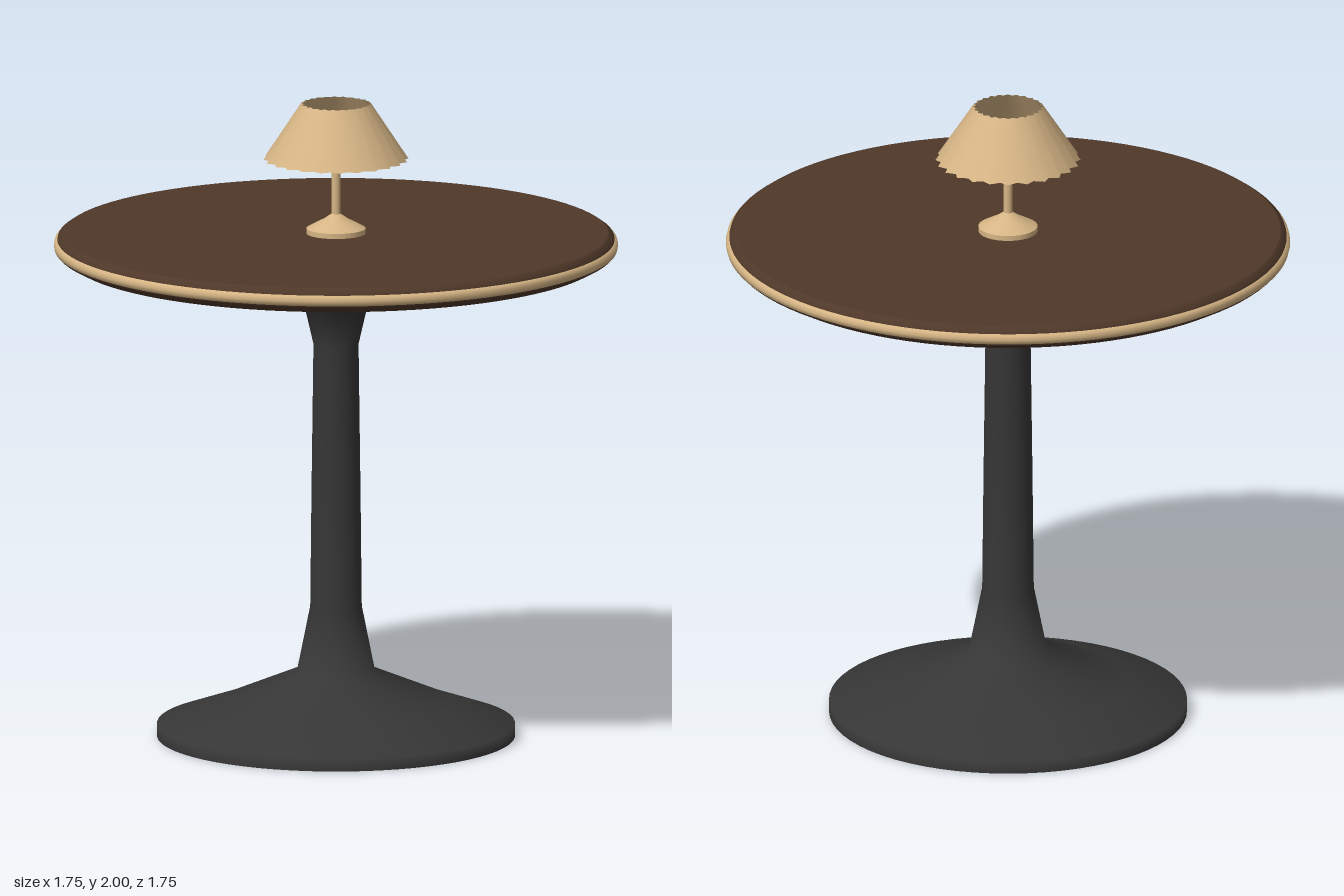
import * as THREE from 'three';

const mat = (name, color, extra = {}) => {
  const m = new THREE.MeshStandardMaterial({ color, ...extra });
  m.name = name;
  return m;
};

// Surface of revolution; a repeated point makes a hard edge
function turned(name, profile, material, segments = 64) {
  const points = profile.map(([r, y]) => new THREE.Vector2(r, y));
  const mesh = new THREE.Mesh(new THREE.LatheGeometry(points, segments), material);
  mesh.name = name;
  return mesh;
}

export function createModel() {
  const black = mat('matte black', 0x363636);
  const brown = mat('dark wood', 0x4f3829);
  const brass = mat('warm brass', 0xd6b585);
  const shadeBrass = mat('warm brass shade', 0xd6b585, { side: THREE.DoubleSide });

  const model = new THREE.Group();
  model.name = 'tableWithLamp';

  // Trumpet pedestal: disc foot, slim column, flared head
  model.add(turned('pedestal', [
    [0, 0], [0.555, 0], [0.555, 0], [0.555, 0.04], [0.37, 0.105], [0.12, 0.21], [0.08, 0.41],
    [0.076, 0.78], [0.07, 1.24], [0.1, 1.37], [0.245, 1.49], [0.245, 1.515],
  ], black));

  // Round top with softened edges
  model.add(turned('tabletop', [
    [0, 1.51], [0.825, 1.51], [0.825, 1.51], [0.862, 1.53], [0.868, 1.555],
    [0.862, 1.578], [0.845, 1.59], [0.845, 1.59], [0, 1.59],
  ], brown, 96));

  // Metal band around the edge
  model.add(turned('edgeBand', [
    [0.862, 1.535], [0.872, 1.54], [0.875, 1.553], [0.872, 1.566], [0.862, 1.571],
  ], brass, 96));

  // Table lamp
  const lamp = new THREE.Group();
  lamp.name = 'lamp';
  lamp.add(turned('lampStand', [
    [0, 1.588], [0.092, 1.588], [0.092, 1.588], [0.092, 1.606], [0.092, 1.606], [0.035, 1.637],
    [0.014, 1.652], [0.014, 1.652], [0.014, 1.87], [0.014, 1.87], [0, 1.87],
  ], brass, 32));

  // Pleated open shade: alternate columns are pulled inwards
  const pleats = 24;
  const geo = new THREE.CylinderGeometry(0.109, 0.225, 0.176, pleats * 2, 1, true);
  const pos = geo.attributes.position;
  for (let i = 0; i < pos.count; i++) {
    const column = i % (pleats * 2 + 1);
    const k = column % 2 ? 0.91 : 1;
    pos.setXYZ(i, pos.getX(i) * k, pos.getY(i), pos.getZ(i) * k);
  }
  const shade = new THREE.Mesh(geo, shadeBrass);
  shade.name = 'lampShade';
  shade.position.y = 1.912;
  lamp.add(shade);
  model.add(lamp);

  return model;
}
